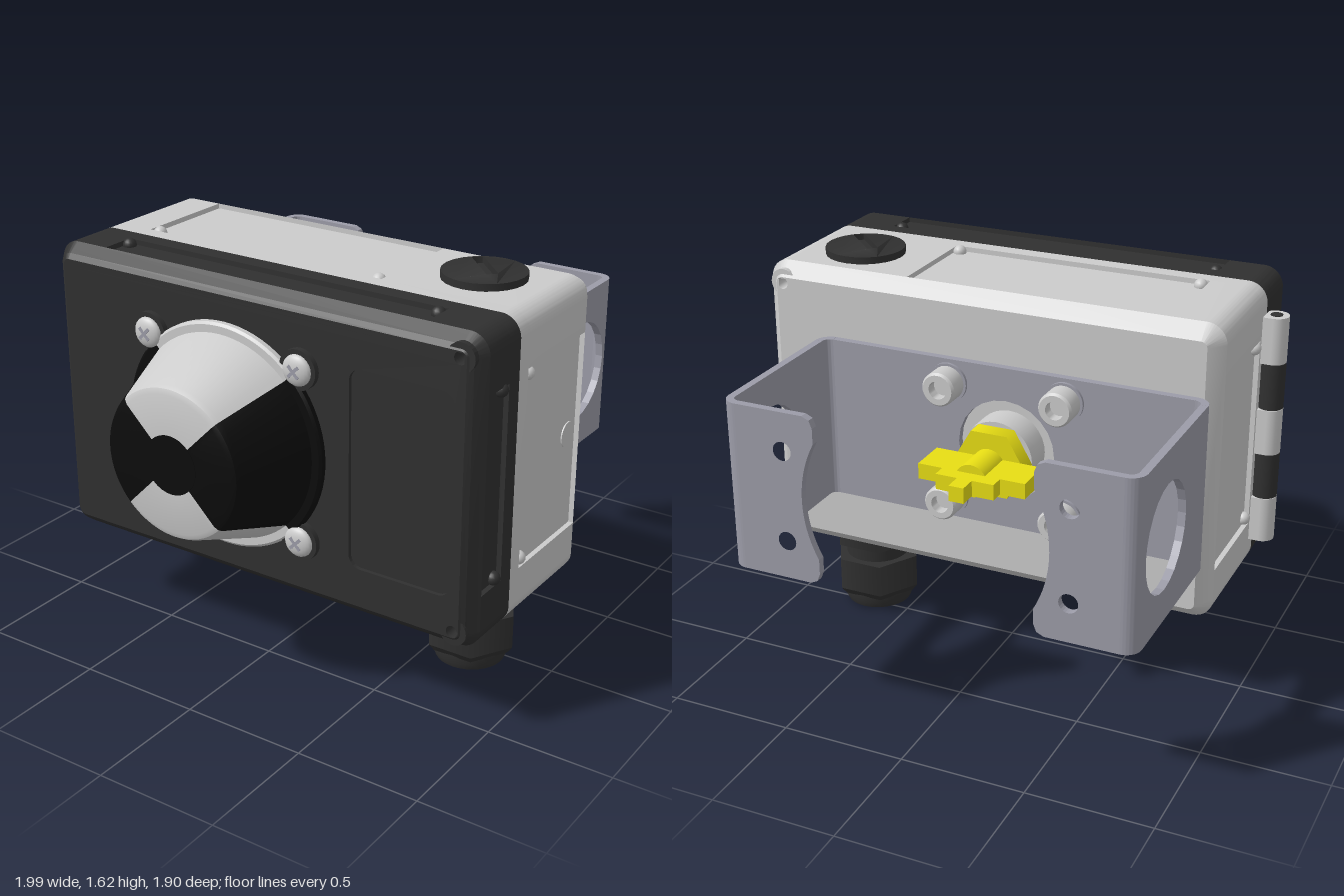
import * as THREE from 'three';
import { toCreasedNormals } from 'three/addons/utils/BufferGeometryUtils.js';

const mat = (color) => new THREE.MeshStandardMaterial({ color });
const GREY = mat(0xcccccc), BLACK = mat(0x303030), DARK = mat(0x0c0c0c);
const STEEL = mat(0x9c9ca8), YELLOW = mat(0xe8de14);
const PI = Math.PI, CX = 0.035, CY = 0.97, HW = 0.945, HH = 0.6, R = 0.08;
const AX = -0.085; // axis of dome, shaft and bracket

function rounded(x0, y0, x1, y1, r, Type = THREE.Shape) {
  const s = new Type();
  s.absarc(x1 - r, y1 - r, r, 0, PI / 2);
  s.absarc(x0 + r, y1 - r, r, PI / 2, PI);
  s.absarc(x0 + r, y0 + r, r, PI, PI * 1.5);
  s.absarc(x1 - r, y0 + r, r, PI * 1.5, PI * 2);
  s.closePath();
  return s;
}
const circle = (x, y, r) => new THREE.Path().absarc(x, y, r, 0, PI * 2, true);
const extrude = (shape, depth) =>
  new THREE.ExtrudeGeometry(shape, { depth, bevelEnabled: false, curveSegments: 12 });

// Housing outline with a shallow notch in each side: x range [n0, n1], y range CY +- ny
function notched([n0, n1, ny], d = 0.02) {
  const [x0, x1, y0, y1] = [CX - HW, CX + HW, CY - HH, CY + HH], s = new THREE.Shape();
  const side = (...p) => p.forEach(([x, y]) => s.lineTo(x, y));
  s.moveTo(x1, CY - ny);
  side([x1 - d, CY - ny], [x1 - d, CY + ny], [x1, CY + ny]);
  s.absarc(x1 - R, y1 - R, R, 0, PI / 2);
  side([n1, y1], [n1, y1 - d], [n0, y1 - d], [n0, y1]);
  s.absarc(x0 + R, y1 - R, R, PI / 2, PI);
  side([x0, CY + ny], [x0 + d, CY + ny], [x0 + d, CY - ny], [x0, CY - ny]);
  s.absarc(x0 + R, y0 + R, R, PI, PI * 1.5);
  side([n0, y0], [n0, y0 + d], [n1, y0 + d], [n1, y0]);
  s.absarc(x1 - R, y0 + R, R, PI * 1.5, PI * 2);
  return s;
}

// One layer of the housing; bevel pulls the rim inwards at the front or back end
function slab(z0, z1, { notch, inset = 0, bevel = 0, back = false, window } = {}) {
  const w = HW - inset, h = HH - inset, r = R - inset;
  const s = notch ? notched(notch) : rounded(CX - w, CY - h, CX + w, CY + h, r);
  for (const y of [0.45, 1.49]) s.holes.push(circle(0.9, y, 0.024));
  if (window) s.holes.push(window);
  const g = extrude(s, z1 - z0), p = g.attributes.position;
  for (let i = 0; bevel && i < p.count; i++) {
    if ((p.getZ(i) < 1e-6) !== back) continue;
    const dx = p.getX(i) - CX, dy = p.getY(i) - CY;
    const qx = Math.abs(dx) - (w - r), qy = Math.abs(dy) - (h - r);
    const ox = Math.max(qx, 0), oy = Math.max(qy, 0), len = Math.hypot(ox, oy);
    if (Math.abs(len - r) > 0.003) continue;
    p.setX(i, p.getX(i) - Math.sign(dx) * ox / len * bevel);
    p.setY(i, p.getY(i) - Math.sign(dy) * oy / len * bevel);
  }
  g.computeVertexNormals();
  return toCreasedNormals(g, 0.5).translate(0, 0, z0);
}

export function createModel() {
  const model = new THREE.Group();
  const add = (name, geo, material, x = 0, y = 0, z = 0) => {
    const m = new THREE.Mesh(geo, material);
    m.name = name;
    m.position.set(x, y, z);
    model.add(m);
    return m;
  };
  const box = (w, h, d) => new THREE.BoxGeometry(w, h, d);
  const cyl = (r, h, n = 32, r2 = r) => new THREE.CylinderGeometry(r, r2, h, n);
  const zcyl = (r, h, n = 32) => cyl(r, h, n).rotateX(PI / 2);
  const lathe = (pts, start = 0, len = PI * 2, n = 32) => toCreasedNormals(
    new THREE.LatheGeometry(pts.map((p) => new THREE.Vector2(...p)), n, start, len), 0.5);

  // Housing and lid
  const bodyNotch = [-0.7, 0.375, 0.39], lidNotch = [-0.69, 0.735, 0.38];
  add('housingBack', slab(-0.21, -0.15, { bevel: 0.055, back: true }), GREY);
  add('housingMiddle', slab(-0.15, 0.285, { notch: bodyNotch }), GREY);
  add('housingRim', slab(0.285, 0.35), GREY);
  add('lidRim', slab(0.35, 0.42), BLACK);
  add('lidMiddle', slab(0.42, 0.56, { notch: lidNotch }), BLACK);
  add('lidBevel', slab(0.56, 0.605, { bevel: 0.035 }), BLACK);
  add('lidFace', slab(0.605, 0.62, { inset: 0.035, bevel: 0.02,
    window: rounded(0.46, 0.58, 0.885, 1.36, 0.05, THREE.Path) }), BLACK);
  for (const y of [0.45, 1.49]) {
    const ring = new THREE.Shape().absarc(0, 0, 0.055, 0, PI * 2);
    ring.holes.push(circle(0, 0, 0.026));
    add('lidScrewBoss', extrude(ring, 0.05), BLACK, 0.9, y, 0.565);
    add('housingScrewBoss', extrude(ring, 0.05), GREY, 0.9, y, -0.2);
  }

  // Small round studs at the corners of the side recesses
  const stud = new THREE.SphereGeometry(0.027, 16, 10);
  for (const s of [-1, 1]) {
    for (const x of [-0.67, 0.35]) add('housingStud', stud, GREY, x, CY + s * 0.585, 0.262);
    for (const x of [-0.67, 0.71]) add('lidStud', stud, BLACK, x, CY + s * 0.585, 0.445);
    for (const y of [0.61, 1.335]) {
      add('housingStud', stud, GREY, CX + s * 0.93, y, 0.262);
      add('lidStud', stud, BLACK, CX + s * 0.93, y, 0.45);
    }
  }
  add('sidePlug', cyl(0.05, 0.008).rotateZ(PI / 2), GREY, 0.961, CY, -0.09);
  add('ventDisc', zcyl(0.05, 0.006), BLACK, 0.83, CY, -0.211);

  // Hinge knuckles, alternating between housing and lid
  for (let i = 0; i < 5; i++) {
    const material = i % 2 ? BLACK : GREY, y = 0.595 + i * 0.19;
    add('hingeKnuckle', cyl(0.05, 0.188, 24), material, -0.95, y, 0.35);
    add('hingeLeaf', box(0.06, 0.188, 0.05), material, -0.92, y, i % 2 ? 0.375 : 0.325);
  }
  add('hingePin', cyl(0.024, 0.954, 16), BLACK, -0.95, 0.975, 0.35);

  // Indicator dome: four sectors in two colours round a dark hub
  const profile = [[0.445, 0], [0.445, 0.02], [0.435, 0.028], [0.405, 0.028], [0.3, 0.305],
    [0.29, 0.322], [0.27, 0.33], [0.105, 0.33]];
  for (let i = 0; i < 4; i++) {
    const g = lathe(profile, -PI / 4 + i * PI / 2, PI / 2, 20).rotateX(PI / 2);
    add('domeSector', g, i % 2 ? DARK : GREY, AX, CY, 0.62);
  }
  add('domeHub', zcyl(0.115, 0.02), DARK, AX, CY, 0.942);
  for (const sx of [-1, 1]) for (const sy of [-1, 1]) {
    const x = AX + sx * 0.34, y = CY + sy * 0.34;
    add('domeScrewSeat', zcyl(0.078, 0.035), BLACK, x, y, 0.625);
    add('domeScrew', new THREE.SphereGeometry(0.06, 24, 12).scale(1, 1, 0.45), GREY, x, y, 0.643);
    for (const a of [PI / 4, -PI / 4])
      add('screwSlot', box(0.06, 0.012, 0.006).rotateZ(a), STEEL, x, y, 0.668);
  }

  // Slotted blanking plug on top
  const disc = new THREE.Shape().absarc(0, 0, 0.16, 0, PI * 2);
  disc.holes.push(rounded(-0.1, -0.022, 0.1, 0.022, 0.004, THREE.Path));
  const plug = extrude(disc, 0.03), pp = plug.attributes.position;
  for (let i = 0; i < pp.count; i++) if (pp.getZ(i) > 0.01)
    pp.setZ(i, 0.03 + 0.028 * (1 - (pp.getX(i) ** 2 + pp.getY(i) ** 2) / 0.0256));
  plug.computeVertexNormals();
  plug.rotateX(-PI / 2).rotateY(-PI / 4);
  add('topPlug', toCreasedNormals(plug, 0.5), BLACK, 0.67, 1.568, 0.06);
  add('topPlugSlotFloor', cyl(0.12, 0.03), BLACK, 0.67, 1.575, 0.06);

  // Cable gland underneath
  const hex = (r, h, r2) => cyl(r, h, 6, r2).toNonIndexed().rotateY(PI / 6);
  const gland = [['glandBase', hex(0.187, 0.08), 0.34], ['glandNeck', cyl(0.133, 0.09), 0.265],
    ['glandNut', hex(0.187, 0.14), 0.16], ['glandNutChamfer', hex(0.187, 0.03, 0.165), 0.075]];
  for (const [name, g, y] of gland) add(name, g, BLACK, 0.67, y, 0.065);
  add('glandCap', lathe([[0.075, 0.05], [0.075, 0], [0.115, 0], [0.137, 0.01], [0.147, 0.035],
    [0.147, 0.07]]), BLACK, 0.67, 0, 0.065);
  add('glandBore', cyl(0.076, 0.02), DARK, 0.67, 0.05, 0.065);

  // Mounting bracket: back plate, bent corners, side plates and flanges
  const plate = rounded(-0.745, -0.3325, 0.745, 0.3325, 0.001);
  plate.holes.push(circle(0, 0, 0.2));
  add('bracketPlate', extrude(plate, 0.03), STEEL, AX, CY, -0.245);
  const corner = (x, z, a) => {
    const s = new THREE.Shape().absarc(0, 0, 0.06, a, a + PI / 2);
    s.absarc(0, 0, 0.03, a + PI / 2, a, true);
    const g = toCreasedNormals(extrude(s, 0.665).rotateX(PI / 2), 0.5);
    add('bracketBend', g, STEEL, AX + x, CY + 0.3325, z);
  };
  const sideShape = rounded(0.275, -0.3325, 0.89, 0.3325, 0.001);
  sideShape.holes.push(circle(0.68, 0, 0.205));
  const sideGeo = extrude(sideShape, 0.03).rotateY(PI / 2);
  for (const s of [-1, 1]) {
    corner(s * 0.745, -0.275, s > 0 ? 0 : PI / 2);
    corner(s * 0.745, -0.89, s > 0 ? -PI / 2 : PI);
    add('bracketSide', sideGeo, STEEL, AX + s * 0.79 - 0.015, CY, 0);
    const pts = [[0.745, -0.3325], [0.465, -0.3325], [0.437, -0.32], [0.425, -0.29]];
    for (let i = -8; i <= 8; i++) {
      const y = i * 0.02875;
      pts.push([Math.sqrt(0.2335 - y * y), y]);
    }
    pts.push([0.425, 0.29], [0.437, 0.32], [0.465, 0.3325], [0.745, 0.3325]);
    const flange = new THREE.Shape(pts.map(([x, y]) => new THREE.Vector2(s * x, y)));
    for (const y of [-0.18, 0.18]) flange.holes.push(circle(s * 0.555, y, 0.037));
    add('bracketFlange', extrude(flange, 0.03), STEEL, AX, CY, -0.95);
  }

  // Socket head screws holding the bracket
  for (const sx of [-1, 1]) for (const sy of [-1, 1]) {
    const x = AX + sx * 0.24, y = CY + sy * 0.24;
    add('bracketWasher', zcyl(0.078, 0.014), STEEL, x, y, -0.25);
    const head = lathe([[0.068, 0], [0.068, 0.085], [0.06, 0.095], [0.036, 0.095], [0.036, 0.05],
      [0, 0.05]]).rotateX(-PI / 2);
    add('bracketScrew', head, GREY, x, y, -0.25);
  }

  // Shaft boss and yellow coupling
  add('shaftBoss', zcyl(0.147, 0.13), GREY, AX, CY, -0.265);
  add('couplingNut', hex(0.147, 0.07).rotateX(PI / 2), YELLOW, AX, CY, -0.365);
  add('couplingShaft', zcyl(0.065, 0.165), YELLOW, AX, CY, -0.4725);
  for (const [w, z0, z1] of [[0.435, -0.555, -0.4], [0.235, -0.61, -0.555], [0.06, -0.68, -0.61]])
    add('couplingBlade', box(w, 0.062, z1 - z0), YELLOW, AX, CY, (z0 + z1) / 2);
  return model;
}
